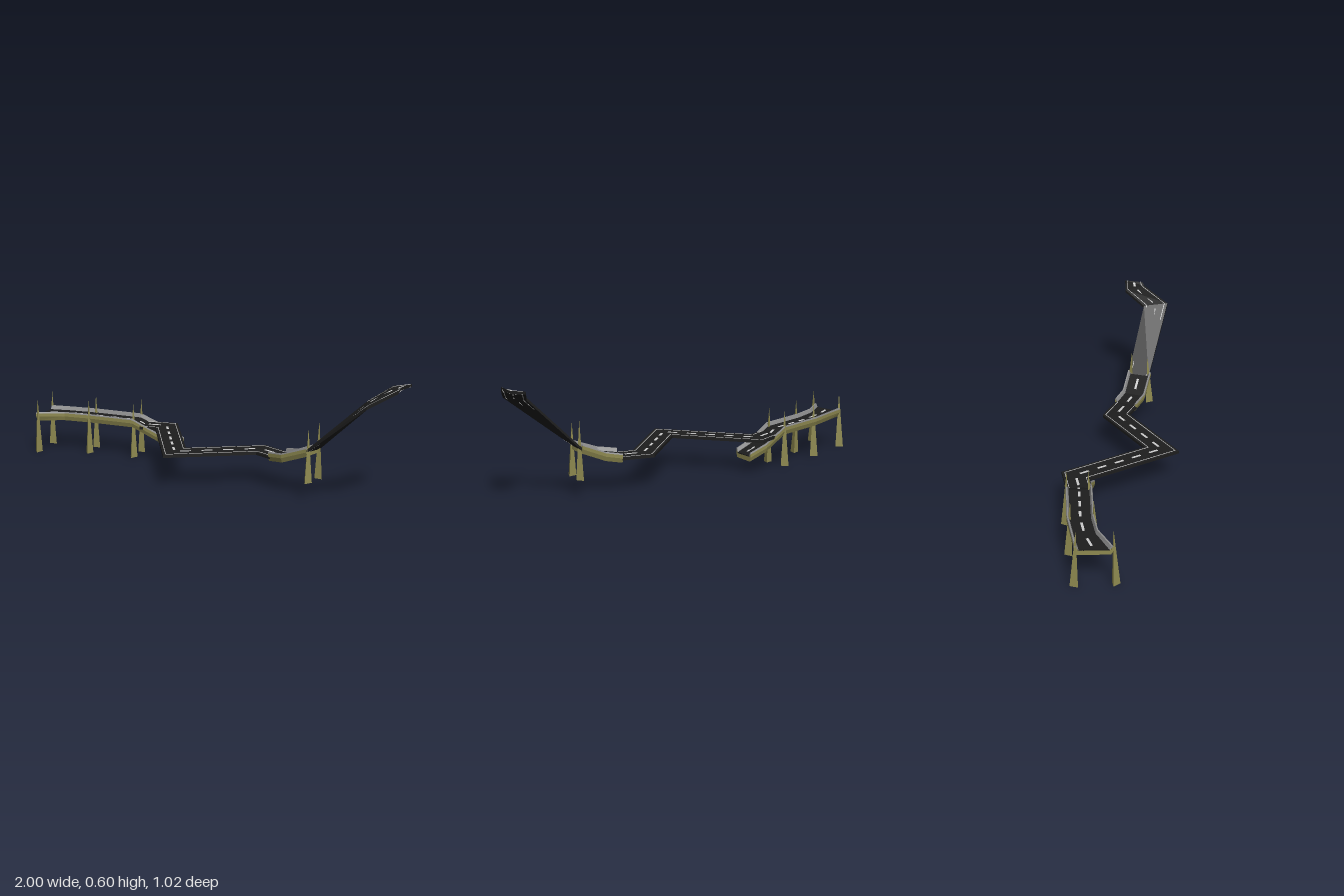
import * as THREE from 'three';
import { ConvexGeometry } from 'three/addons/geometries/ConvexGeometry.js';

const mat = (color) => new THREE.MeshStandardMaterial({ color, flatShading: true, side: THREE.DoubleSide });
const asphalt = mat(0x1d1d1d), stone = mat(0x8f8a50), kerb = mat(0x8c8c8c), paint = mat(0xd0d0d0);

// Path stations are [x, y, z], with an optional cross direction [nx, nz]
const bridgeA = [[-0.967, 0.19, -0.41, -0.37, 1.33], [-0.84, 0.19, -0.417], [-0.70, 0.188, -0.40],
  [-0.445, 0.187, -0.337], [-0.30, 0.125, -0.305], [-0.22, 0.088, -0.26]];
const level = [[-0.41, 0.166, -0.325], [-0.28, 0.166, -0.31], [-0.155, 0.166, 0.17],
  [0.26, 0.166, 0.055], [0.36, 0.166, 0.14]];
const bridgeB = [[0.355, 0.17, 0.135], [0.42, 0.185, 0.2], [0.54, 0.24, 0.268]];
const ramp = [[0.535, 0.235, 0.262], [0.80, 0.513, 0.44], [0.925, 0.57, 0.36], [0.975, 0.588, 0.368, -0.45, 0.75]];

// Horizontal cross direction at a station, mitred at bends
function across(path, i) {
  if (path[i].length > 3) return path[i].slice(3);
  const dir = (a, b) => new THREE.Vector2(b[0] - a[0], b[2] - a[2]).normalize();
  const d0 = dir(path[Math.max(i - 1, 0)], path[Math.max(i, 1)]);
  const last = path.length - 1;
  const d1 = dir(path[Math.min(i, last - 1)], path[Math.min(i + 1, last)]);
  const m = d0.clone().add(d1).normalize();
  const k = 1 / m.dot(d1);
  return [-m.y * k, m.x * k];
}

// Sweep a convex counter-clockwise profile of [sideways, up] points along a path
function sweep(path, profile) {
  const rings = path.map((p, i) => {
    const [nx, nz] = across(path, i);
    return profile.map(([u, v]) => [p[0] + nx * u, p[1] + v, p[2] + nz * u]);
  });
  const pos = [], n = profile.length;
  const tri = (...pts) => pts.forEach((p) => pos.push(...p));
  for (let i = 0; i < rings.length - 1; i++) {
    for (let j = 0; j < n; j++) {
      const k = (j + 1) % n, a = rings[i], b = rings[i + 1];
      tri(a[j], b[j], b[k]);
      tri(a[j], b[k], a[k]);
    }
  }
  const s = rings[0], e = rings[rings.length - 1];
  for (let j = 1; j < n - 1; j++) {
    tri(s[0], s[j], s[j + 1]);
    tri(e[0], e[j + 1], e[j]);
  }
  const g = new THREE.BufferGeometry();
  g.setAttribute('position', new THREE.Float32BufferAttribute(pos, 3));
  g.computeVertexNormals();
  return g;
}

const rect = (u0, u1, v0, v1) => [[u0, v0], [u1, v0], [u1, v1], [u0, v1]];

function add(group, name, geometry, material) {
  const m = new THREE.Mesh(geometry, material);
  m.name = name;
  group.add(m);
}

// Centre dashes, spaced evenly on each straight
function addDashes(group, path, v0, v1) {
  for (let i = 0; i < path.length - 1; i++) {
    const a = new THREE.Vector3(...path[i].slice(0, 3)), b = new THREE.Vector3(...path[i + 1].slice(0, 3));
    const len = a.distanceTo(b), count = Math.max(1, Math.round(len / 0.1));
    for (let k = 0; k < count; k++) {
      const at = (t) => a.clone().lerp(b, (k + t) / count).toArray();
      add(group, 'centreDash', sweep([at(0.25), at(0.75)], rect(-0.006, 0.006, v0, v1)), paint);
    }
  }
}

// Thin road slab, marked on both faces
function makeRoad(name, path, half) {
  const g = new THREE.Group();
  g.name = name;
  add(g, 'roadSlab', sweep(path, rect(-half, half, -0.007, 0.007)), asphalt);
  for (const s of [-1, 1]) {
    const u = s * (half - 0.014);
    add(g, 'edgeLine', sweep(path, rect(u - 0.0015, u + 0.0015, -0.0085, 0.0085)), paint);
  }
  addDashes(g, path, -0.0085, 0.0085);
  return g;
}

// Stone trough carrying a road between kerbed walls
function makeBridge(name, path, half) {
  const g = new THREE.Group();
  g.name = name;
  const base = half - 0.008;
  add(g, 'bridgeBody', sweep(path, [[-base, -0.024], [base, -0.024], [half, 0], [-half, 0]]), stone);
  add(g, 'roadSurface', sweep(path, rect(-half + 0.012, half - 0.012, -0.002, 0.004)), asphalt);
  for (const s of [-1, 1]) {
    const side = (pts) => (s > 0 ? pts : pts.map(([u, v]) => [-u, v]).reverse());
    add(g, 'bridgeWall', sweep(path, side(rect(half - 0.006, half, -0.001, 0.016))), stone);
    add(g, 'kerb', sweep(path, side([[half - 0.016, 0], [half, 0.016], [half - 0.002, 0.023], [half - 0.008, 0.022]])), kerb);
  }
  addDashes(g, path, 0.003, 0.0055);
  return g;
}

// Three-sided spike: tip above the inner edge, base point facing away from the road
function makePillar([x, z, bottom, top, ox, oz]) {
  const o = new THREE.Vector2(ox, oz).normalize(), w = 0.02, d = 0.036;
  const geo = new ConvexGeometry([
    new THREE.Vector3(x - o.y * w, bottom, z + o.x * w),
    new THREE.Vector3(x + o.y * w, bottom, z - o.x * w),
    new THREE.Vector3(x + o.x * d, bottom, z + o.y * d),
    new THREE.Vector3(x + o.x * 0.004, top, z + o.y * 0.004),
  ]);
  const m = new THREE.Mesh(geo, stone);
  m.name = 'pillar';
  return m;
}

export function createModel() {
  const model = new THREE.Group();
  model.name = 'elevatedRoad';
  model.add(makeBridge('leftEndBridge', bridgeA, 0.064));
  model.add(makeRoad('levelRoad', level, 0.062));
  model.add(makeBridge('rampBridge', bridgeB, 0.063));
  model.add(makeRoad('rampRoad', ramp, 0.056));

  // Pillars: x, z, bottom, top, outward direction
  const pillars = [
    [-0.942, -0.482, 0, 0.295, 0.1, -1], [-0.98, -0.327, 0, 0.295, -0.1, 1],
    [-0.69, -0.44, 0, 0.295, 0.17, -1], [-0.705, -0.342, 0, 0.295, -0.17, 1],
    [-0.432, -0.388, 0, 0.295, 0.25, -1], [-0.455, -0.298, 0, 0.295, -0.25, 1],
    [0.563, 0.238, 0.085, 0.38, 0.4, -1], [0.52, 0.302, 0.085, 0.355, -0.4, 1],
  ];
  pillars.forEach((p) => model.add(makePillar(p)));
  return model;
}
